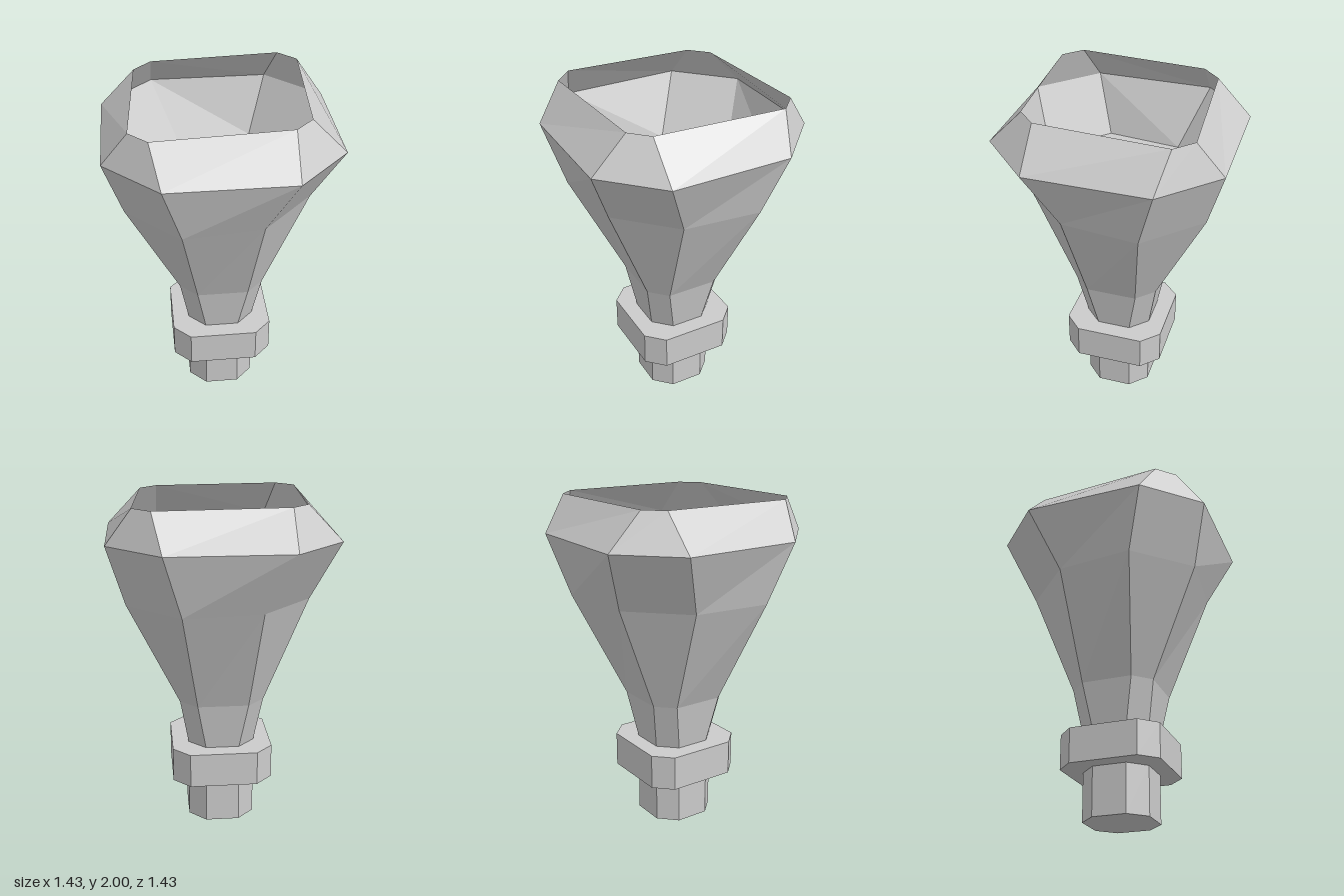
import * as THREE from 'three';

// Chamfered-square section: half extents X and Z, flat half-width f
const ring = ([y, X, Z, f]) => [
  [-f, Z], [f, Z], [X, f], [X, -f], [f, -Z], [-f, -Z], [-X, -f], [-X, f],
].map(([x, z]) => [x, y, z]);

// Faceted skin through stacked sections, with optional flat caps
function loft(name, sections, { bottom = false, top = false, open = false } = {}) {
  const rings = sections.map(ring);
  const last = rings.length - 1;
  const pos = [];
  const tri = (...corners) => corners.forEach((c) => pos.push(...c));
  for (let i = 0; i < 8; i++) {
    const j = (i + 1) % 8;
    for (let k = 0; k < last; k++) {
      const a = rings[k], b = rings[k + 1];
      tri(a[i], a[j], b[j]);
      tri(a[i], b[j], b[i]);
    }
    if (bottom) tri([0, sections[0][0], 0], rings[0][j], rings[0][i]);
    if (top) tri([0, sections[last][0], 0], rings[last][i], rings[last][j]);
  }
  const geometry = new THREE.BufferGeometry();
  geometry.setAttribute('position', new THREE.Float32BufferAttribute(pos, 3));
  geometry.computeVertexNormals();
  const mesh = new THREE.Mesh(geometry, new THREE.MeshStandardMaterial({
    color: 0xcccccc, flatShading: true,
    side: open ? THREE.DoubleSide : THREE.FrontSide,
  }));
  mesh.name = name;
  return mesh;
}

export function createModel() {
  const group = new THREE.Group();
  group.name = 'flaredVessel';
  const floorSection = [1.43, 0.5, 0.571, 0.214];

  group.add(
    // Short stem under the collar
    loft('stem', [[0, 0.214, 0.214, 0.071], [0.29, 0.214, 0.214, 0.071]], { bottom: true }),
    // Wide collar
    loft('collar', [[0.29, 0.357, 0.357, 0.071], [0.5, 0.357, 0.357, 0.071]], { bottom: true, top: true }),
    // Flaring neck up to the bowl floor, closed by the floor
    loft('neck', [[0.5, 0.214, 0.214, 0.071], [0.79, 0.286, 0.286, 0.071], floorSection], { top: true }),
    // Thin open bowl with an inward-turned rim
    loft('bowl', [floorSection, [1.79, 0.714, 0.714, 0.214], [2, 0.571, 0.643, 0.071]], { open: true }),
  );
  return group;
}
